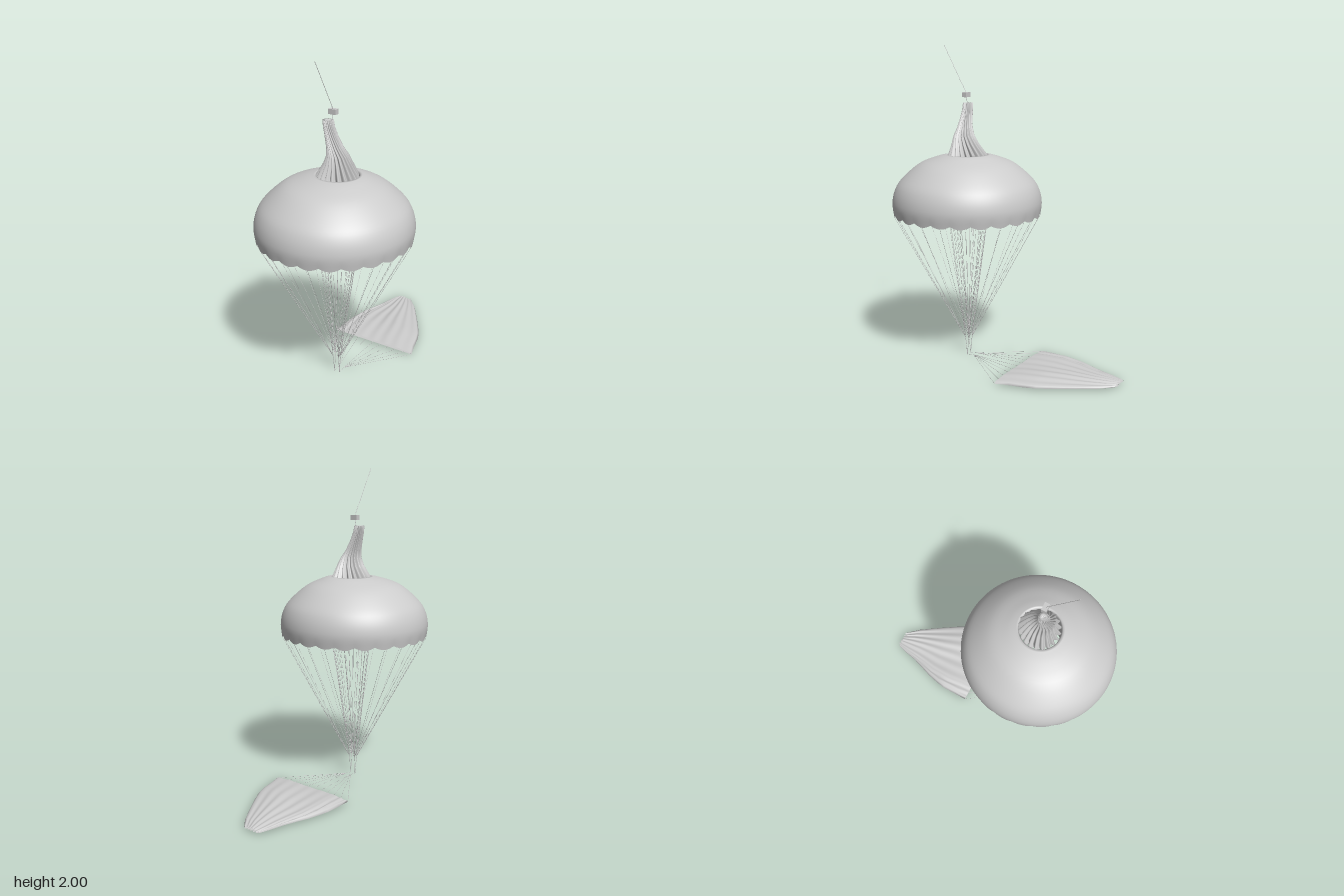
import * as THREE from 'three';
import { mergeGeometries } from 'three/addons/utils/BufferGeometryUtils.js';

const GORES = 24;
const CZ = 0.29; // z of the flying canopy's axis
const TAU = Math.PI * 2;
const V = (x, y, z) => new THREE.Vector3(x, y, z);
const material = new THREE.MeshStandardMaterial({ color: 0xcccccc, side: THREE.DoubleSide });

// Surface through rows of points; columns wrap round, so the normals have no seam
function loft(rows, cols, point) {
  const pos = [], idx = [];
  for (let i = 0; i < rows; i++)
    for (let j = 0; j < cols; j++) pos.push(...point(i, j).toArray());
  for (let i = 0; i < rows - 1; i++)
    for (let j = 0; j < cols; j++) {
      const k = (j + 1) % cols;
      const a = i * cols + j, b = i * cols + k, c = a + cols, d = b + cols;
      idx.push(a, c, b, b, c, d);
    }
  const g = new THREE.BufferGeometry();
  g.setAttribute('position', new THREE.Float32BufferAttribute(pos, 3));
  g.setIndex(idx);
  g.computeVertexNormals();
  return g;
}

// Thin cord between two points
function cord(a, b, r = 0.001) {
  const g = new THREE.CylinderGeometry(r, r, a.distanceTo(b), 5);
  const dir = b.clone().sub(a).normalize();
  g.applyQuaternion(new THREE.Quaternion().setFromUnitVectors(V(0, 1, 0), dir));
  const m = a.clone().add(b).multiplyScalar(0.5);
  return g.translate(m.x, m.y, m.z);
}

export function createModel() {
  const group = new THREE.Group();
  const add = (name, geometry) => {
    const mesh = new THREE.Mesh(geometry, material);
    mesh.name = name;
    group.add(mesh);
    return mesh;
  };

  // Main canopy: scalloped rim, round shoulder, crown turned down into a vent tube
  const outer = new THREE.SplineCurve([
    [0.463, 0.955], [0.472, 1.03], [0.455, 1.11], [0.41, 1.18], [0.305, 1.27],
    [0.2, 1.315], [0.13, 1.333],
  ].map(p => new THREE.Vector2(...p))).getPoints(26);
  const inner = [[0.123, 1.32], [0.128, 1.24], [0.135, 1.14], [0.14, 1.05]]
    .map(p => new THREE.Vector2(...p));
  const profile = [...outer, ...inner];
  const cols = GORES * 6;
  const canopyPoint = (i, j) => {
    const { x: r, y } = profile[i];
    const t = j / cols * TAU;
    const rim = Math.max(0, 1 - i / 4);
    const shift = THREE.MathUtils.smoothstep(i, 18, 26); // vent sits a little off axis
    const lift = 0.009 * rim * (1 - 2 * Math.abs(Math.cos(t * GORES / 2)));
    return V(Math.cos(t) * r + 0.016 * shift, y + lift, CZ - 0.015 * shift + Math.sin(t) * r);
  };
  add('canopy', loft(profile.length, cols, canopyPoint));

  // Gathered, twisted crown fabric: y, centre x, centre z, radius
  const stations = [
    [1.3, 0.015, 0.272, 0.13], [1.335, 0.016, 0.272, 0.122], [1.4, 0.025, 0.28, 0.087],
    [1.45, 0.027, 0.289, 0.066], [1.5, 0.01, 0.294, 0.049], [1.56, -0.01, 0.297, 0.039],
    [1.61, -0.025, 0.298, 0.034], [1.65, -0.031, 0.298, 0.032], [1.65, -0.031, 0.298, 0.016],
    [1.645, -0.031, 0.298, 0.001],
  ];
  add('gatheredCrown', loft(stations.length, GORES * 6, (i, j) => {
    const [y, cx, cz, radius] = stations[i];
    const t = j / (GORES * 6) * TAU;
    const fold = 1 - 0.2 * Math.pow(Math.sin(t * 20 / 2), 2) + 0.04 * Math.sin(t * 3);
    const twist = t + (y - 1.3) * 2;
    return V(cx + Math.cos(twist) * radius * fold, y, cz + Math.sin(twist) * radius * fold);
  }));

  // Release block with its trailing line
  add('releaseBlock', new THREE.BoxGeometry(0.048, 0.03, 0.03)).position.set(0, 1.7, CZ);
  add('pullLine', mergeGeometries([
    cord(V(0, 1.71, CZ), V(0, 2, 0.455), 0.0015),
    cord(V(-0.01, 1.645, CZ), V(0, 1.69, CZ), 0.0015),
  ]));

  // Suspension lines from rim and vent to the four riser tops
  const rimLines = [], ventLines = [], risers = [], last = profile.length - 1;
  for (let k = 0; k < GORES; k++) {
    const j = k * 6, t = k / GORES * TAU + 0.001;
    const top = V(Math.sign(Math.cos(t)) * 0.02, 0.12, CZ + Math.sign(Math.sin(t)) * 0.012);
    rimLines.push(cord(canopyPoint(0, j), top));
    ventLines.push(cord(canopyPoint(last, j), top));
  }
  for (const sx of [-1, 1])
    for (const sz of [-1, 1])
      risers.push(cord(V(sx * 0.02, 0.12, CZ + sz * 0.012), V(sx * 0.018, 0.001, CZ), 0.0015));
  add('rimLines', mergeGeometries(rimLines));
  add('ventLines', mergeGeometries(ventLines));
  add('risers', mergeGeometries(risers));

  // Collapsed canopy on the ground: z, left edge, right edge, height
  const slices = [
    [-0.118, -0.27, 0.318, 0.02], [-0.2, -0.268, 0.292, 0.03], [-0.3, -0.266, 0.268, 0.034],
    [-0.36, -0.255, 0.245, 0.033], [-0.44, -0.235, 0.2, 0.03], [-0.52, -0.205, 0.15, 0.026],
    [-0.6, -0.178, 0.098, 0.022], [-0.68, -0.16, 0.045, 0.019], [-0.755, -0.137, -0.02, 0.014],
  ];
  const n = 48; // points across each face
  const clothPoint = (i, j) => {
    const [z, x0, x1, h] = slices[i];
    const upper = j < n;
    const u = upper ? j / n : (2 * n - j) / n;
    const folds = Math.sin(u * 41 + i * 0.25) * 0.13 * (0.35 + i / 9) + Math.sin(u * 9 + i * 0.5) * 0.12;
    const bunch = 0.3 * Math.exp(-Math.pow((u - 0.06) / 0.07, 2)) * Math.sin(u * 90 + i);
    const swell = Math.pow(Math.sin(Math.PI * u), 0.35);
    const y = upper ? 0.012 + h * swell * (0.8 + folds + bunch) : 0.011;
    const ragged = 0.006 * Math.sin(u * 34) * (i === 8 ? 1 : 0);
    return V(x0 + (x1 - x0) * u, y, z + ragged);
  };
  add('collapsedCanopy', loft(slices.length, 2 * n, clothPoint));

  // Lines from the collapsed canopy's open edge to the riser feet
  const groundLines = [];
  for (let k = 0; k <= 10; k++) {
    const foot = V(k < 5 ? -0.018 : 0.018, 0.01, 0.24);
    groundLines.push(cord(V(-0.27 + 0.0588 * k, 0.013, -0.118), foot));
  }
  for (const s of [-1, 1]) groundLines.push(cord(V(s * 0.018, 0.01, 0.24), V(s * 0.018, 0.003, CZ)));
  add('groundLines', mergeGeometries(groundLines));

  return group;
}
